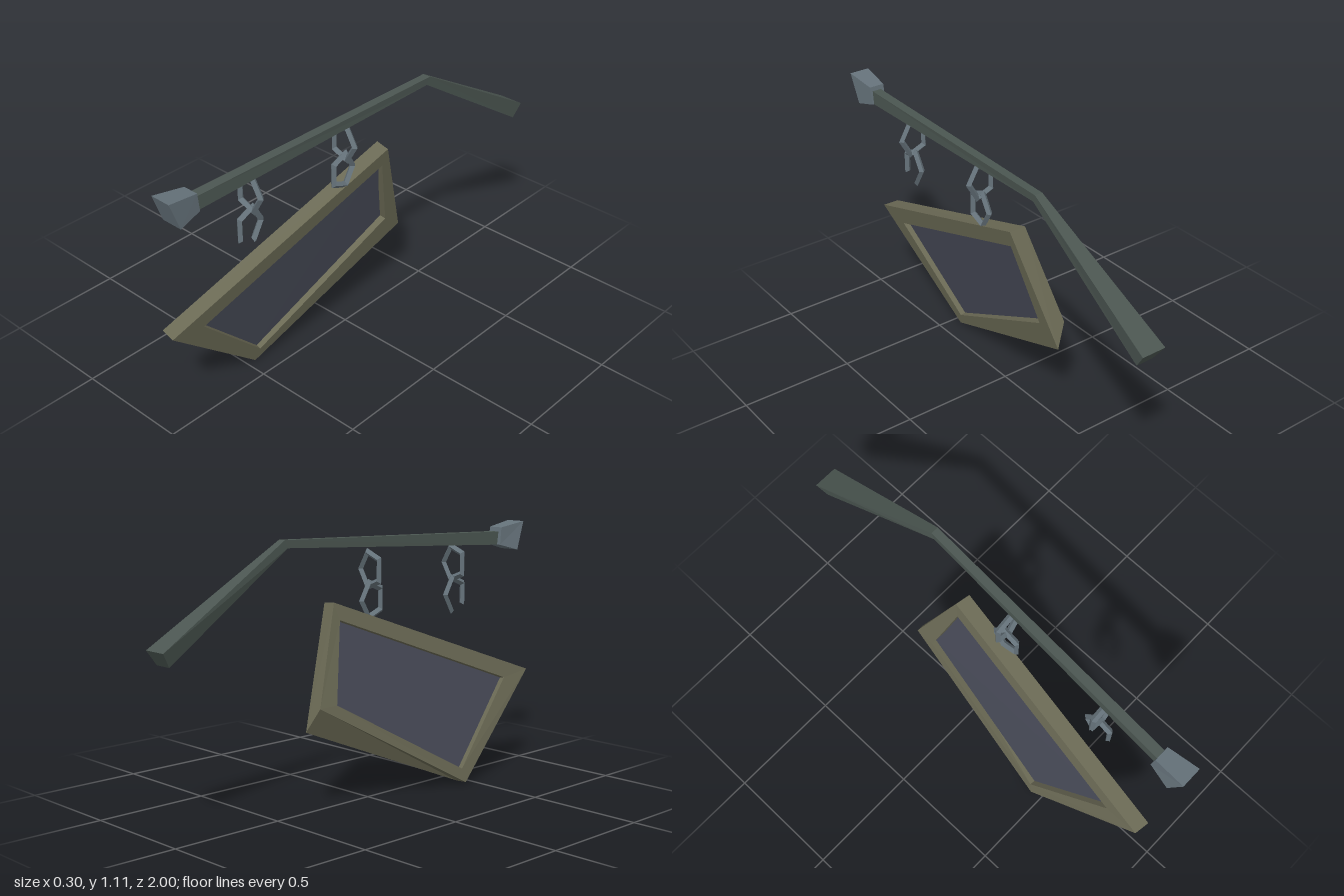
import * as THREE from 'three';

const mat = (color) => new THREE.MeshStandardMaterial({ color, flatShading: true, side: THREE.DoubleSide });
const wood = mat(0x6b6a55), slate = mat(0x474a57), iron = mat(0x4b5651), steel = mat(0x65727a);

// Loft through four-cornered sections; capped at the ends, or closed into a ring
function loft(name, sections, material, ring = false) {
  const pos = [];
  const quad = (a, b, c, d) => pos.push(a, b, c, a, c, d);
  const n = sections.length;
  for (let i = 0; i < (ring ? n : n - 1); i++) {
    const s = sections[i], t = sections[(i + 1) % n];
    for (let k = 0; k < 4; k++) quad(s[k], s[(k + 1) % 4], t[(k + 1) % 4], t[k]);
  }
  if (!ring) {
    quad(...[...sections[0]].reverse());
    quad(...sections[n - 1]);
  }
  // A negative volume means the faces point inwards, so turn them round
  let volume = 0;
  for (let i = 0; i < pos.length; i += 3) volume += pos[i].dot(pos[i + 1].clone().cross(pos[i + 2]));
  if (volume < 0) pos.reverse();
  const geo = new THREE.BufferGeometry().setFromPoints(pos);
  geo.computeVertexNormals();
  const mesh = new THREE.Mesh(geo, material);
  mesh.name = name;
  return mesh;
}

const corners = (list) => list.map((p) => new THREE.Vector3(...p));
const mix = (a, b, t) => a.map((p, i) => p.clone().lerp(b[i], t));

// Section across a bar: top edge, then bottom edge
const barSection = (top, bottom) => corners([
  [top.x0, top.y, top.z], [top.x1, top.y, top.z],
  [bottom.x1, bottom.y, bottom.z], [bottom.x0, bottom.y, bottom.z],
]);

// Five-sided chain link; a broken one lacks a side
function link(name, x, y, z, turn, broken = false) {
  const sides = broken ? 4 : 5;
  const geo = new THREE.TorusGeometry(0.061, 0.014, 4, sides, sides * Math.PI * 0.4);
  if (broken) geo.rotateZ(-Math.PI * 0.4);
  geo.scale(1, 1.25, 1);
  geo.rotateY(turn);
  const mesh = new THREE.Mesh(geo, steel);
  mesh.name = name;
  mesh.position.set(x, y, z);
  return mesh;
}

export function createModel() {
  const model = new THREE.Group();
  model.name = 'hangingSign';

  // Bent pole, thin at the elbow and flared at the far end
  model.add(loft('pole', [
    barSection({ x0: 0.03, x1: 0.072, y: 1.07, z: 0.88 }, { x0: 0.03, x1: 0.072, y: 1.01, z: 0.88 }),
    barSection({ x0: 0.1, x1: 0.135, y: 1.105, z: -0.36 }, { x0: 0.1, x1: 0.132, y: 1.072, z: -0.345 }),
    barSection({ x0: 0.042, x1: 0.15, y: 0.735, z: -1 }, { x0: 0.062, x1: 0.14, y: 0.675, z: -0.96 }),
  ], iron));

  // Block on the front tip
  model.add(loft('poleCap', [
    barSection({ x0: 0.016, x1: 0.084, y: 1.09, z: 0.86 }, { x0: 0.014, x1: 0.082, y: 1.012, z: 0.85 }),
    barSection({ x0: 0.004, x1: 0.095, y: 1.112, z: 1 }, { x0: -0.005, x1: 0.09, y: 0.985, z: 0.95 }),
  ], steel));

  // Crooked frame: outer and inner outlines on both faces
  const faceX = (y, z) => -0.082 + 0.207 * y - 0.02 * z;
  const face = (list) => corners(list.map(([z, y]) => [faceX(y, z), y, z]));
  const outerLeft = face([[0.95, 0.437], [-0.155, 0.838], [-0.35, 0.34], [0.46, 0.003]]);
  const innerLeft = face([[0.79, 0.41], [-0.14, 0.76], [-0.245, 0.42], [0.44, 0.06]]);
  const outerRight = corners([[-0.08, 0.442, 0.94], [0.027, 0.845, -0.165], [-0.058, 0.44, -0.32], [-0.153, 0.01, 0.45]]);
  const innerRight = innerLeft.map((p) => p.clone().add(new THREE.Vector3(-0.065, 0.012, -0.005)));
  innerRight[2].set(-0.06, 0.442, -0.23);
  model.add(loft('signFrame', [outerLeft, innerLeft, innerRight, outerRight], wood, true));

  // Recessed board
  model.add(loft('signBoard', [mix(innerLeft, innerRight, 0.36), mix(innerLeft, innerRight, 0.62)], slate));

  // Two chains; the front one has snapped
  const chains = [
    { name: 'frontChain', x: 0.05, y: 0.948, z: 0.58, lowY: 0.81, broken: true },
    { name: 'rearChain', x: 0.062, y: 0.957, z: 0.078, lowY: 0.83, broken: false },
  ];
  for (const c of chains) {
    const chain = new THREE.Group();
    chain.name = c.name;
    chain.add(link('upperLink', c.x, c.y, c.z, 0));
    chain.add(link('lowerLink', c.x, c.lowY, c.z + 0.007, Math.PI / 2, c.broken));
    model.add(chain);
  }
  return model;
}
